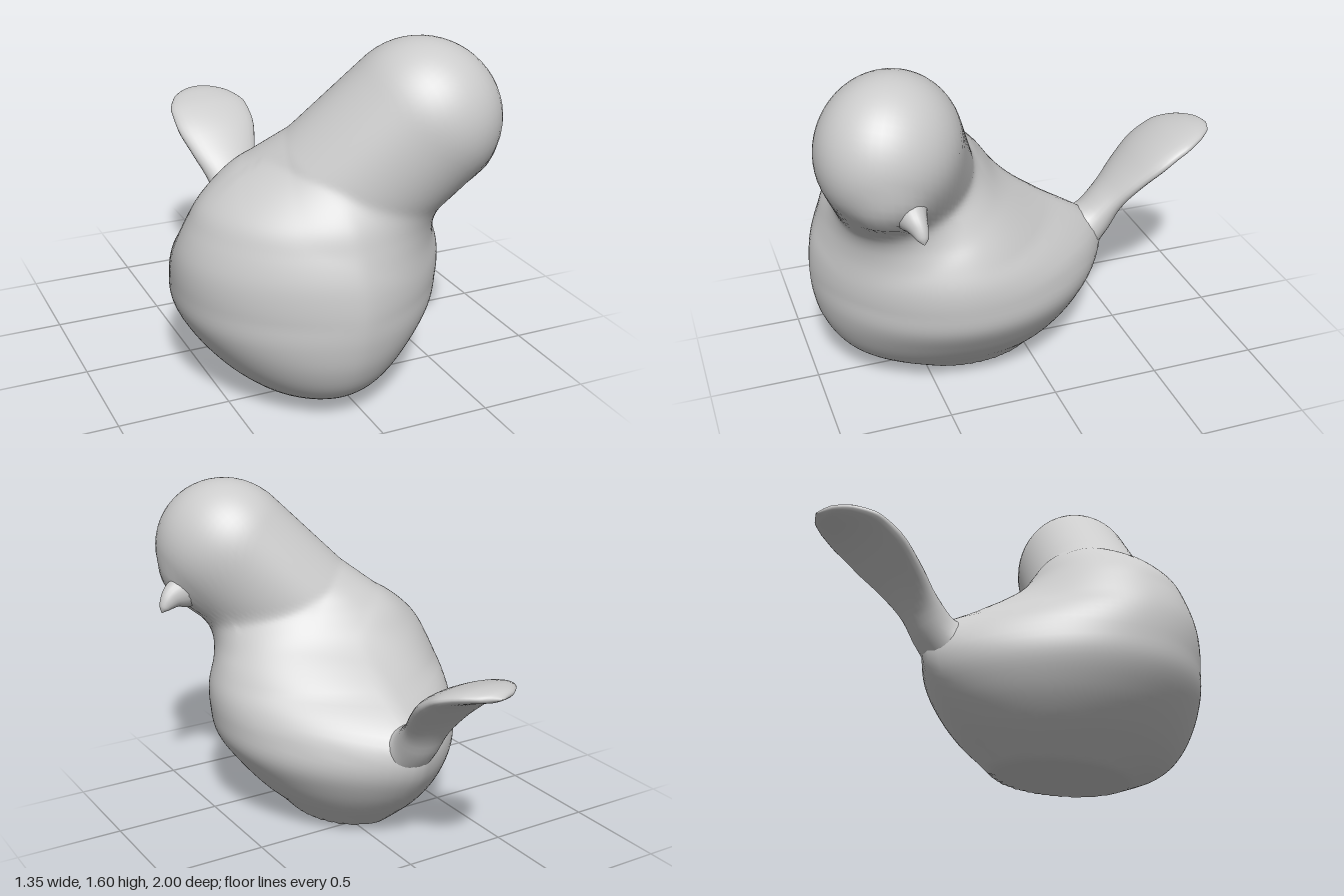
import * as THREE from 'three';
import { mergeVertices, toCreasedNormals } from 'three/addons/utils/BufferGeometryUtils.js';

const lerp = THREE.MathUtils.lerp;
const clamp = THREE.MathUtils.clamp;

// Horizontal body sections: height, left and right x, front and back z
const SECTIONS = [
  [0, -0.33, 0.16, 0.60, -0.07],
  [0.07, -0.41, 0.225, 0.77, -0.155],
  [0.15, -0.495, 0.31, 0.87, -0.25],
  [0.27, -0.59, 0.41, 0.94, -0.36],
  [0.40, -0.66, 0.495, 0.975, -0.44],
  [0.52, -0.675, 0.515, 0.985, -0.445],
  [0.62, -0.675, 0.513, 0.98, -0.335],
  [0.70, -0.66, 0.49, 0.965, -0.20],
  [0.80, -0.62, 0.44, 0.93, -0.04],
  [0.90, -0.56, 0.355, 0.88, 0.10],
  [1.00, -0.43, 0.20, 0.78, 0.19],
  [1.08, -0.28, 0.09, 0.68, 0.26],
  [1.15, -0.13, 0.00, 0.54, 0.38],
];

// The head and neck are narrower across than along their diagonal facing
const narrow = (v) => {
  const across = ((v.x - v.z) / 2) * 0.1, along = ((v.x + v.z) / 2) * -0.025;
  return new THREE.Vector3(v.x + across + along, v.y, v.z - across + along);
};

// Centres and radii of the cheek, head, neck and shoulder
const NECK = [
  [0.38, 1.2, 0.69, 0.25],
  [0.305, 1.267, 0.675, 0.332],
  [0.01, 0.94, 0.54, 0.338],
  [-0.2, 0.8, 0.385, 0.305],
].map(([x, y, z, r]) => ({ c: narrow(new THREE.Vector3(x, y, z)), r }));

// Smooth section value k at a height between rows i and i + 1
function sectionValue(i, t, k) {
  const row = (n) => SECTIONS[clamp(n, 0, SECTIONS.length - 1)];
  const h = row(i + 1)[0] - row(i)[0];
  const slope = (n) => ((row(n + 1)[k] - row(n - 1)[k]) / (row(n + 1)[0] - row(n - 1)[0])) * h;
  const a = row(i)[k], b = row(i + 1)[k], t2 = t * t, t3 = t2 * t;
  return a + (b - a) * (3 * t2 - 2 * t3) + slope(i) * (t3 - 2 * t2 + t) + slope(i + 1) * (t3 - t2);
}

// Teardrop body: blunt at the front, tapering to the tail, rounder at base and shoulders
function bodyField(p) {
  const y = clamp(p.y, 0, 1.1499);
  const i = SECTIONS.findIndex((s) => s[0] > y) - 1;
  const t = (y - SECTIONS[i][0]) / (SECTIONS[i + 1][0] - SECTIONS[i][0]);
  const [x0, x1, zf, zb] = [1, 2, 3, 4].map((k) => sectionValue(i, t, k));
  const zm = 0.27 + 0.17 * y;
  const u = Math.abs(p.x - (x0 + x1) / 2) / ((x1 - x0) / 2);
  const v = p.z > zm ? (p.z - zm) / (zf - zm) : (zm - p.z) / (zm - zb);
  const rise = clamp(y / 0.5, 0, 1);
  const back = lerp(2, 1.1, rise) + 0.8 * clamp((y - 0.7) / 0.3, 0, 1);
  const power = p.z > zm ? lerp(2, 1.5, rise) : back;
  const above = Math.max(0, p.y - 1.15);
  return (Math.sqrt(u ** power + v * v) - 1) * 0.5 + above * 10;
}

// Tapered capsules joining cheek, head, neck and shoulder
function neckField(point) {
  const p = narrow(point);
  let d = Infinity;
  for (let i = 0; i < NECK.length - 1; i++) {
    const a = NECK[i], b = NECK[i + 1];
    const ab = b.c.clone().sub(a.c);
    const t = clamp(p.clone().sub(a.c).dot(ab) / ab.lengthSq(), 0, 1);
    d = Math.min(d, p.distanceTo(a.c.clone().addScaledVector(ab, t)) - lerp(a.r, b.r, t));
  }
  return d;
}

// Soft union of body and neck, cut flat at the base
function birdField(p) {
  const a = bodyField(p), b = neckField(p), k = 0.15;
  const h = Math.max(k - Math.abs(a - b), 0) / k;
  return Math.max(Math.min(a, b) - (h * h * k) / 4, -p.y);
}

// Sphere whose points are moved in or out to the soft union
function bodyGeometry() {
  const geo = new THREE.SphereGeometry(1, 112, 84);
  const pos = geo.attributes.position;
  const centre = new THREE.Vector3(0, 0.72, 0.45);
  const dir = new THREE.Vector3(), p = new THREE.Vector3();
  const at = (r) => birdField(p.copy(centre).addScaledVector(dir, r));
  for (let i = 0; i < pos.count; i++) {
    dir.fromBufferAttribute(pos, i).normalize();
    let inner = 1.3;
    while (inner > 0.05 && at(inner) > 0) inner -= 0.03;
    let outer = inner + 0.03;
    for (let n = 0; n < 12; n++) {
      const mid = (inner + outer) / 2;
      if (at(mid) > 0) outer = mid;
      else inner = mid;
    }
    p.copy(centre).addScaledVector(dir, inner);
    pos.setXYZ(i, p.x, Math.max(0, p.y), p.z);
  }
  geo.deleteAttribute('uv');
  geo.deleteAttribute('normal');
  return toCreasedNormals(mergeVertices(geo, 1e-5), 0.9);
}

// Oval rings along a smooth path; stations are [x, y, z, half width, half thickness]
function loft(stations, side, steps = 36, around = 28) {
  const path = new THREE.CatmullRomCurve3(stations.map((s) => new THREE.Vector3(s[0], s[1], s[2])));
  const size = new THREE.CatmullRomCurve3(stations.map((s) => new THREE.Vector3(s[3], s[4], 0)));
  const verts = [], index = [];
  for (let i = 0; i <= steps; i++) {
    const c = path.getPoint(i / steps), r = size.getPoint(i / steps);
    const up = path.getTangent(i / steps).cross(side).normalize();
    for (let j = 0; j < around; j++) {
      const a = (j / around) * Math.PI * 2;
      const q = c.clone().addScaledVector(side, Math.cos(a) * r.x).addScaledVector(up, Math.sin(a) * r.y);
      verts.push(q.x, q.y, q.z);
      if (i === steps) continue;
      const k = (j + 1) % around;
      const p0 = i * around + j, p1 = i * around + k;
      index.push(p0, p0 + around, p1, p1, p0 + around, p1 + around);
    }
  }
  const geo = new THREE.BufferGeometry();
  geo.setAttribute('position', new THREE.Float32BufferAttribute(verts, 3));
  geo.setIndex(index);
  geo.computeVertexNormals();
  return geo;
}

export function createModel() {
  const group = new THREE.Group();
  const material = new THREE.MeshStandardMaterial({ color: 0xcccccc, side: THREE.DoubleSide });
  const add = (name, geo) => {
    const mesh = new THREE.Mesh(geo, material);
    mesh.name = name;
    group.add(mesh);
  };

  add('bodyAndHead', bodyGeometry());

  // Paddle-shaped tail, rising and flattening towards its tip
  add('tail', loft([
    [-0.085, 0.46, -0.12, 0.24, 0.17],
    [-0.085, 0.47, -0.27, 0.17, 0.145],
    [-0.085, 0.535, -0.39, 0.115, 0.1],
    [-0.088, 0.64, -0.48, 0.122, 0.07],
    [-0.09, 0.75, -0.58, 0.165, 0.058],
    [-0.09, 0.855, -0.70, 0.203, 0.055],
    [-0.09, 0.917, -0.80, 0.2, 0.047],
    [-0.09, 0.95, -0.90, 0.15, 0.036],
    [-0.09, 0.957, -0.965, 0.085, 0.024],
    [-0.09, 0.955, -1.0, 0.003, 0.003],
  ], new THREE.Vector3(1, 0, 0)));

  // Short beak, hooked downwards
  add('beak', loft([
    [0.54, 1.09, 0.66, 0.075, 0.09],
    [0.60, 1.07, 0.655, 0.052, 0.062],
    [0.635, 1.045, 0.645, 0.036, 0.042],
    [0.656, 1.022, 0.64, 0.024, 0.024],
    [0.668, 1.002, 0.637, 0.002, 0.002],
  ], new THREE.Vector3(0, 0, 1), 20, 20));

  return group;
}
